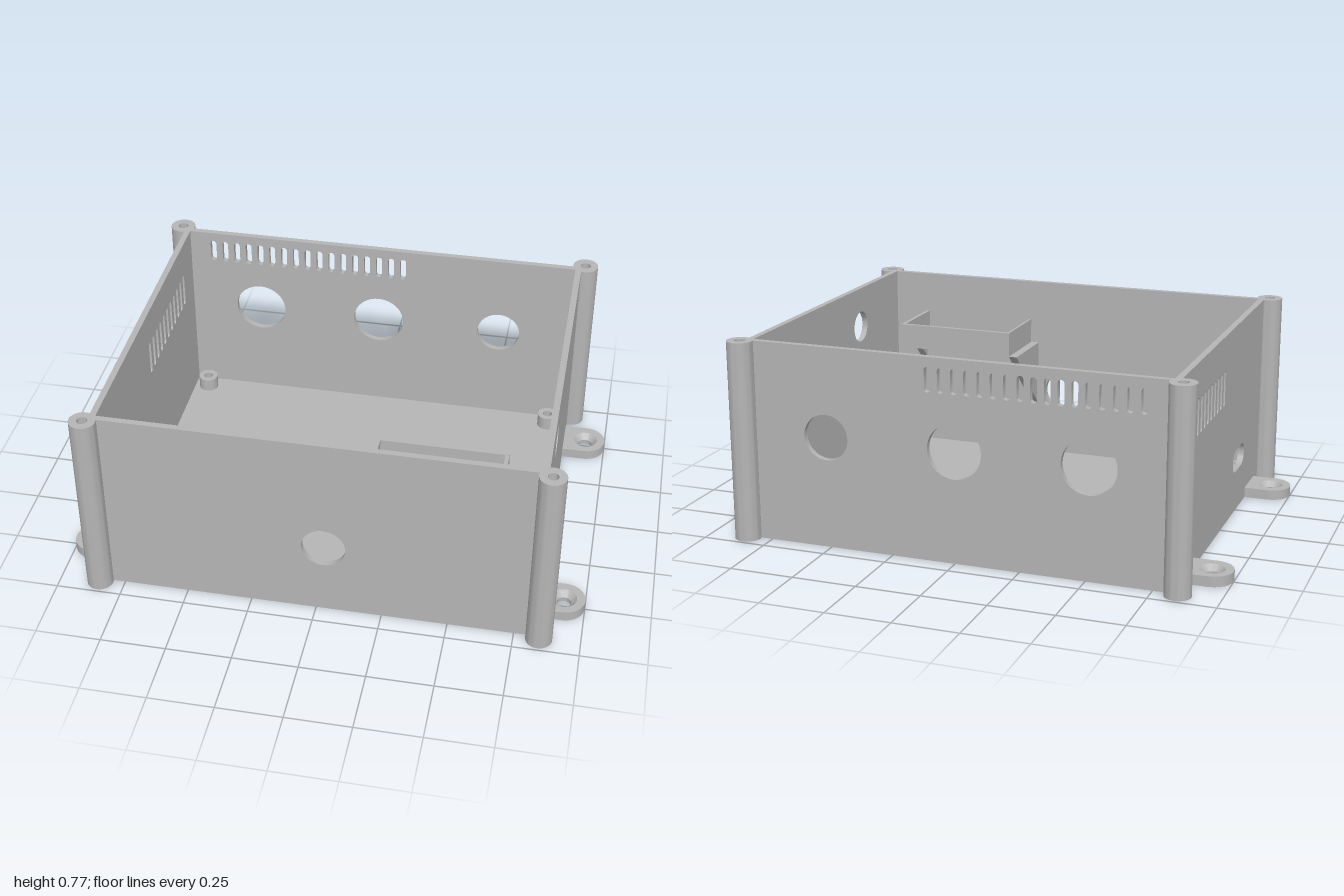
import * as THREE from 'three';
import { toCreasedNormals } from 'three/addons/utils/BufferGeometryUtils.js';

const H = 0.775, X = 0.83, Z = 0.677, T = 0.024, FLOOR = 0.025;

export function createModel() {
  const grey = new THREE.MeshStandardMaterial({ color: 0xb5b5b5 });
  grey.name = 'plainGrey';
  const model = new THREE.Group();
  model.name = 'enclosure';

  const add = (name, geo, x = 0, y = 0, z = 0, parent = model) => {
    const mesh = new THREE.Mesh(geo, grey);
    mesh.name = name;
    mesh.position.set(x, y, z);
    parent.add(mesh);
    return mesh;
  };
  // Box given by its min and max corners
  const block = (name, a, b, parent) => add(name,
    new THREE.BoxGeometry(b[0] - a[0], b[1] - a[1], b[2] - a[2]),
    (a[0] + b[0]) / 2, (a[1] + b[1]) / 2, (a[2] + b[2]) / 2, parent);
  const lathe = (pts) => toCreasedNormals(
    new THREE.LatheGeometry(pts.map(p => new THREE.Vector2(...p)), 40), 0.6);
  // Round post with a blind screw hole in the top
  const post = (r, h, hole, depth) => lathe(
    [[0, 0], [r, 0], [r, h], [hole, h], [hole, h - depth], [0, h - depth]]);

  // Cut-outs
  const circle = (x, y, r) => new THREE.Path().absarc(x, y, r, 0, Math.PI * 2, true);
  const slot = (x, y, w, h) => {
    const p = new THREE.Path();
    const r = Math.min(w, h) / 2, dx = w / 2 - r, dy = h / 2 - r;
    p.absarc(x + dx, y + dy, r, 0, Math.PI / 2, false);
    p.absarc(x - dx, y + dy, r, Math.PI / 2, Math.PI, false);
    p.absarc(x - dx, y - dy, r, Math.PI, Math.PI * 1.5, false);
    p.absarc(x + dx, y - dy, r, Math.PI * 1.5, Math.PI * 2, false);
    p.closePath();
    return p;
  };
  const slotRow = (n, from, to, y, w, h) => Array.from({ length: n },
    (_, i) => slot(from + (to - from) * i / (n - 1), y, w, h));

  const extrude = (shape, depth) => toCreasedNormals(
    new THREE.ExtrudeGeometry(shape, { depth, bevelEnabled: false, curveSegments: 20 }), 0.6);
  const panel = (half, holes) => {
    const s = new THREE.Shape([[-half, 0], [half, 0], [half, H], [-half, H]]
      .map(p => new THREE.Vector2(...p)));
    s.holes.push(...holes);
    return extrude(s, T);
  };

  // Floor and four walls
  block('floor', [-X + T, 0, -Z + T], [X - T, FLOOR, Z - T]);
  add('frontWall', panel(X, [circle(0.03, 0.3, 0.083)]), 0, 0, Z - T);
  add('backWall', panel(X, [
    circle(0.51, 0.43, 0.088), circle(0, 0.43, 0.105), circle(-0.51, 0.43, 0.105),
    ...slotRow(17, -0.708, 0.1, 0.69, 0.025, 0.095),
  ]), 0, 0, -Z);
  // Side walls: the panel's own x runs towards -z
  add('leftWall', panel(Z - T, [
    circle(-0.27, 0.612, 0.064), circle(-0.453, 0.32, 0.084), circle(-0.22, 0.32, 0.084),
  ]).rotateY(Math.PI / 2), X - T);
  add('rightWall', panel(Z - T, [
    slot(-0.278, 0.21, 0.19, 0.09),
    ...slotRow(11, 0.01, 0.51, 0.572, 0.024, 0.14),
  ]).rotateY(Math.PI / 2), -X);

  // Corner posts, inner standoffs and mounting ears
  const cornerGeo = post(0.05, H, 0.02, 0.2);
  const standoffGeo = post(0.04, 0.08 - FLOOR + 0.01, 0.019, 0.05);
  const ear = new THREE.Shape();
  ear.moveTo(0.82, -0.08);
  ear.lineTo(0.92, -0.08);
  ear.absarc(0.92, 0, 0.08, -Math.PI / 2, Math.PI / 2, false);
  ear.lineTo(0.82, 0.08);
  ear.closePath();
  ear.holes.push(circle(0.92, 0, 0.048));
  const earGeo = extrude(ear, 0.04).rotateX(-Math.PI / 2);
  const sinkGeo = lathe([[0.048, 0.04], [0.027, 0.018], [0.027, 0], [0.048, 0]]);
  for (const sx of [-1, 1]) for (const sz of [-1, 1]) {
    add('cornerPost', cornerGeo, sx * 0.845, 0, sz * 0.69);
    add('standoff', standoffGeo, sx * 0.747, FLOOR - 0.01, sz * 0.594);
    const lug = new THREE.Group();
    lug.name = 'mountingEar';
    lug.position.z = sz * 0.495;
    lug.rotation.y = sx > 0 ? 0 : Math.PI;
    add('earPlate', earGeo, 0, 0, 0, lug);
    add('countersink', sinkGeo, 0.92, 0, 0, lug);
    model.add(lug);
  }

  // Stepped locating pin on the floor
  add('locatingPin', lathe([[0.035, 0], [0.035, 0.075], [0.02, 0.075], [0.02, 0.18], [0, 0.18]]),
    0.485, FLOOR, -0.045);

  // Tray on the inside of the front wall
  const tray = new THREE.Group();
  tray.name = 'tray';
  model.add(tray);
  const back = Z - T, low = 0.51, top = 0.61;
  block('trayFloor', [0.18, low, 0.377], [0.668, 0.53, back], tray);
  block('trayLip', [0.18, 0.53, 0.377], [0.668, top, 0.393], tray);
  block('traySide', [0.18, 0.53, 0.393], [0.19, top, back], tray);
  block('traySide', [0.653, 0.53, 0.393], [0.668, top, back], tray);
  block('trayRail', [0.19, 0.53, 0.4], [0.255, 0.54, 0.63], tray);
  block('trayRail', [0.58, 0.53, 0.4], [0.647, 0.54, 0.63], tray);
  // Triangular brackets under the tray ends
  const bracket = (x, width, size) => {
    const s = new THREE.Shape([[-back, low], [-back, low - size], [-back + size, low]]
      .map(p => new THREE.Vector2(...p)));
    add('trayBracket', extrude(s, width).rotateY(Math.PI / 2), x, 0, 0, tray);
  };
  bracket(0.146, 0.034, 0.276);
  bracket(0.668, 0.03, 0.108);

  return model;
}
